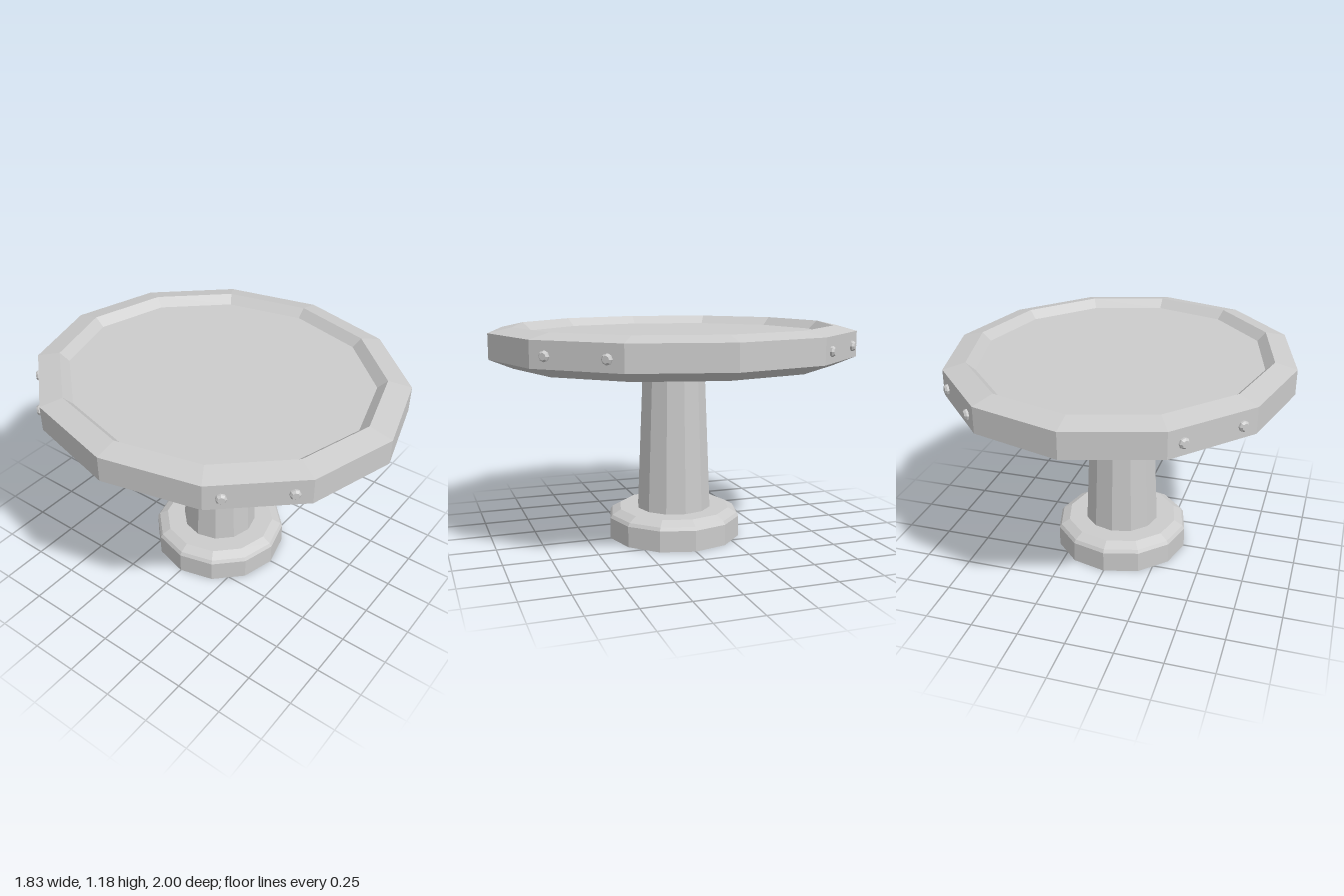
import * as THREE from 'three';

const SIDES = 12;

function part(name, geometry) {
  const mesh = new THREE.Mesh(
    geometry,
    new THREE.MeshStandardMaterial({ color: 0xcccccc, flatShading: true })
  );
  mesh.name = name;
  return mesh;
}

// Faceted solid of revolution from [radius, height] pairs, listed bottom to top
function turned(profile, sides = SIDES) {
  return new THREE.LatheGeometry(profile.map(([r, y]) => new THREE.Vector2(r, y)), sides);
}

export function createModel() {
  const model = new THREE.Group();
  model.name = 'pedestalTable';

  // Foot with a softly bevelled upper edge
  model.add(part('base', turned([
    [0, 0], [0.37, 0], [0.37, 0.115], [0.358, 0.133], [0.31, 0.16], [0, 0.16],
  ])));

  // Tapered column
  model.add(part('column', turned([[0.207, 0.15], [0.172, 0.98]])));

  // Oval top: bevelled rim around a recessed surface
  const rx = 0.915;
  const top = part('tableTop', turned([
    [0, 0.967], [0.875, 0.967], [1, 1.018], [1, 1.153],
    [0.875, 1.18], [0.825, 1.135], [0, 1.135],
  ]));
  top.geometry.scale(rx, 1, 1);
  model.add(top);

  // Pairs of rivets on the four diagonal faces of the rim
  const rivets = new THREE.Group();
  rivets.name = 'rivets';
  const rivetGeometry = turned([[0.027, -0.01], [0.027, 0.01], [0.018, 0.02], [0, 0.02]], 8);
  const corner = (a) => new THREE.Vector3(rx * Math.sin(a), 1.08, Math.cos(a));
  for (const sx of [1, -1]) {
    for (const sz of [1, -1]) {
      const mirror = new THREE.Vector3(sx, 1, sz);
      const start = corner(Math.PI / 6).multiply(mirror);
      const end = corner(Math.PI / 3).multiply(mirror);
      const edge = end.clone().sub(start);
      const normal = new THREE.Vector3(Math.abs(edge.z) * sx, 0, Math.abs(edge.x) * sz).normalize();
      for (const t of [0.17, 0.83]) {
        const rivet = part('rivet', rivetGeometry);
        rivet.position.lerpVectors(start, end, t);
        rivet.quaternion.setFromUnitVectors(new THREE.Vector3(0, 1, 0), normal);
        rivets.add(rivet);
      }
    }
  }
  model.add(rivets);

  return model;
}
